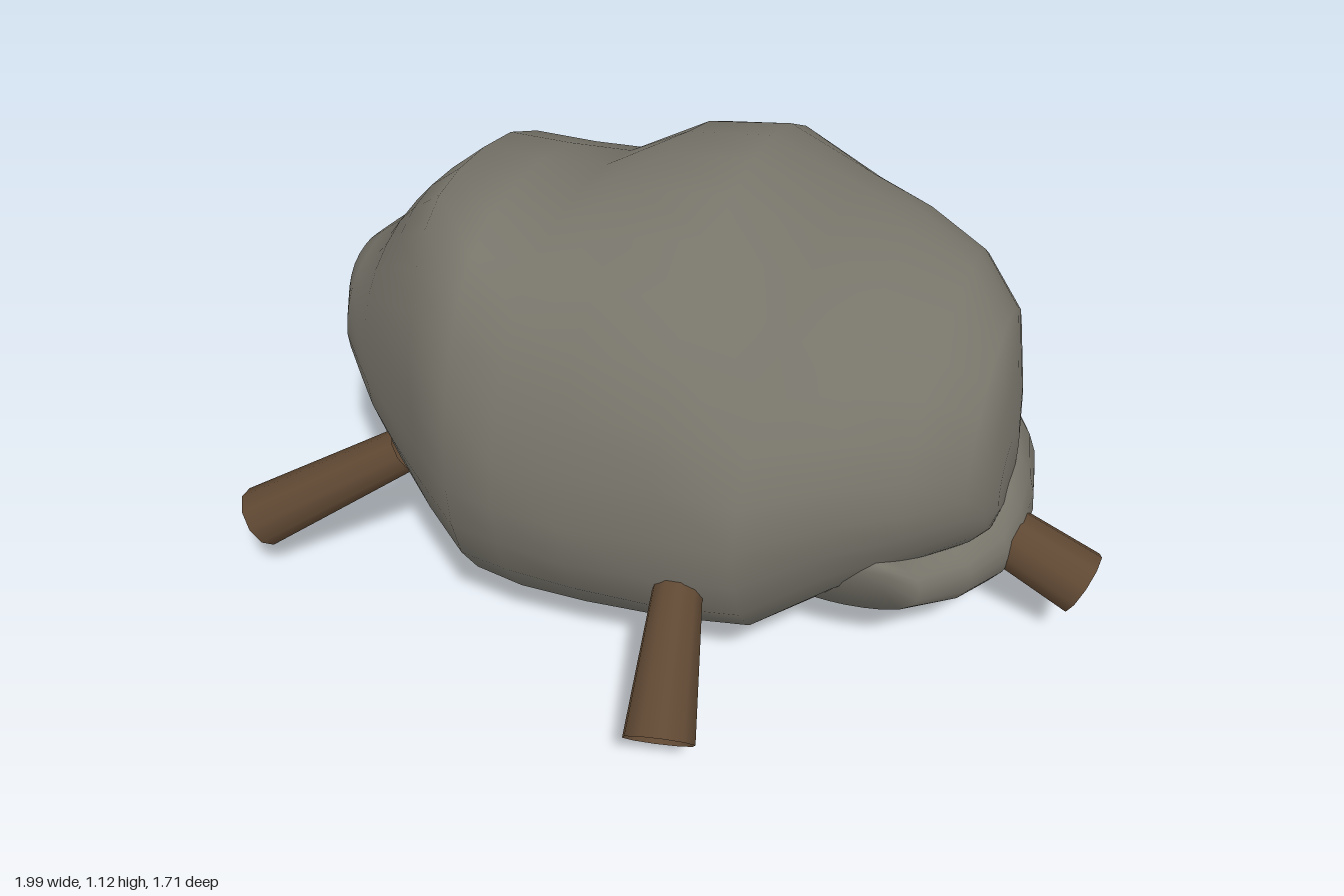
import * as THREE from 'three';

const stone = new THREE.MeshStandardMaterial({ color: 0x77746a });
stone.name = 'stone grey';
const wood = new THREE.MeshStandardMaterial({ color: 0x5f4833, side: THREE.DoubleSide });
wood.name = 'bark brown';

// Loft a closed boulder.
// Section: [along, top, bottom, sideMin, sideMax, height of widest point, sideways shift of the top, of the bottom]
// place(along, side, y) maps a section point to x, y, z.
// powers(u, v) gives the roundness of each quarter of the section.
function boulder(sections, place, powers, bump, flip) {
  const n = 28, pos = [], idx = [];
  sections.forEach(([a, top, bot, s0, s1, mid, topShift, botShift], i) => {
    const c = (s0 + s1) / 2, half = (s1 - s0) / 2;
    const inner = i > 0 && i < sections.length - 1 ? 1 : 0;
    for (let j = 0; j < n; j++) {
      const t = (j / n) * Math.PI * 2;
      const u = Math.cos(t), v = Math.sin(t), p = powers(u, v);
      const k = 1 / Math.pow(Math.abs(u) ** p + Math.abs(v) ** p, 1 / p);
      // gentle lumps, fading out at the four extremes
      const lump = 1 + inner * bump * Math.sin(2 * t) ** 2 * Math.sin(3 * t + a * 9);
      const side = c + half * u * k * lump + (v > 0 ? topShift : botShift) * v * v;
      const y = mid + (v > 0 ? top - mid : mid - bot) * v * k * lump;
      pos.push(...place(a, side, y));
    }
  });
  const rows = sections.length;
  const tri = (a, b, c) => (flip ? idx.push(a, c, b) : idx.push(a, b, c));
  for (let i = 0; i < rows - 1; i++) {
    for (let j = 0; j < n; j++) {
      const a = i * n + j, b = i * n + ((j + 1) % n);
      tri(a, b, a + n);
      tri(b, b + n, a + n);
    }
  }
  // end caps
  [0, rows - 1].forEach((r, end) => {
    const [a, top, bot, s0, s1] = sections[r];
    const centre = pos.length / 3;
    pos.push(...place(a, (s0 + s1) / 2, (top + bot) / 2));
    for (let j = 0; j < n; j++) {
      const p = r * n + j, q = r * n + ((j + 1) % n);
      if (end) tri(centre, p, q);
      else tri(centre, q, p);
    }
  });
  const g = new THREE.BufferGeometry();
  g.setAttribute('position', new THREE.Float32BufferAttribute(pos, 3));
  g.setIndex(idx);
  g.computeVertexNormals();
  return g;
}

// Hollow log stub, widening from its buried end to its tip
function logStub(start, tip, r0, r1) {
  const a = new THREE.Vector3(...start), b = new THREE.Vector3(...tip);
  const dir = b.clone().sub(a);
  const g = new THREE.CylinderGeometry(r1, r0, dir.length(), 10, 1, true);
  const m = new THREE.Mesh(g, wood);
  m.quaternion.setFromUnitVectors(new THREE.Vector3(0, 1, 0), dir.normalize());
  m.position.copy(a).add(b).multiplyScalar(0.5);
  return m;
}

export function createModel() {
  const model = new THREE.Group();
  model.name = 'boulderWithLogs';

  // Main boulder, sections along x
  const main = [
    [-0.875, 0.66, 0.53, -0.05, 0.05, 0.6, 0, 0],
    [-0.86, 0.71, 0.46, -0.13, 0.13, 0.59, 0, 0],
    [-0.82, 0.74, 0.4, -0.24, 0.21, 0.57, 0, 0],
    [-0.76, 0.79, 0.31, -0.33, 0.27, 0.55, 0.03, 0],
    [-0.7, 0.87, 0.23, -0.43, 0.33, 0.54, 0.08, 0],
    [-0.62, 0.96, 0.13, -0.45, 0.39, 0.53, 0.12, 0],
    [-0.49, 1.08, 0.06, -0.47, 0.49, 0.53, 0.17, 0],
    [-0.36, 1.06, 0.04, -0.55, 0.59, 0.52, 0.15, 0],
    [-0.24, 1.03, 0.03, -0.6, 0.61, 0.52, 0.09, 0],
    [-0.08, 1.1, 0.01, -0.63, 0.62, 0.52, 0, 0],
    [0.12, 1.12, 0.0, -0.57, 0.59, 0.52, -0.04, 0],
    [0.3, 0.98, 0.05, -0.55, 0.57, 0.53, -0.14, -0.04],
    [0.45, 0.93, 0.13, -0.48, 0.44, 0.54, -0.15, -0.08],
    [0.6, 0.89, 0.21, -0.37, 0.34, 0.54, -0.12, -0.08],
    [0.71, 0.83, 0.28, -0.23, 0.24, 0.54, -0.05, -0.04],
    [0.745, 0.68, 0.33, -0.15, 0.17, 0.51, 0, 0],
    [0.76, 0.56, 0.38, -0.08, 0.1, 0.47, 0, 0],
  ];
  const mainPower = (u, v) => (v < 0 ? 2.15 : u > 0 ? 2 : 2.2);
  const mainRock = new THREE.Mesh(boulder(main, (a, s, y) => [a, y, s], mainPower, 0.025, true), stone);
  mainRock.name = 'mainBoulder';
  model.add(mainRock);

  // Small boulder against the lower side, sections along z
  const small = [
    [-0.56, 0.37, 0.24, 0.21, 0.4, 0.3, 0, 0],
    [-0.52, 0.43, 0.18, 0.17, 0.55, 0.29, 0, 0],
    [-0.43, 0.48, 0.12, 0.17, 0.68, 0.28, 0, -0.04],
    [-0.25, 0.51, 0.08, 0.19, 0.78, 0.28, 0, -0.08],
    [-0.1, 0.5, 0.06, 0.22, 0.81, 0.28, 0, -0.1],
    [0.0, 0.47, 0.06, 0.25, 0.81, 0.27, 0, -0.1],
    [0.06, 0.38, 0.07, 0.25, 0.79, 0.25, 0, -0.1],
    [0.15, 0.34, 0.1, 0.26, 0.73, 0.24, 0, -0.08],
    [0.28, 0.37, 0.19, 0.3, 0.64, 0.28, 0.02, -0.04],
    [0.325, 0.39, 0.3, 0.38, 0.58, 0.35, 0, 0],
  ];
  const smallRock = new THREE.Mesh(boulder(small, (a, s, y) => [s, y, a], () => 2.4, 0.03, false), stone);
  smallRock.name = 'smallBoulder';
  model.add(smallRock);

  // Log stubs: name, start, tip, radii
  [
    ['frontRightLog', [-0.6, 0.395, 0.36], [-0.95, 0.175, 0.485], 0.054, 0.075],
    ['frontLog', [0.16, 0.4, 0.51], [0.225, 0.17, 0.8], 0.052, 0.08],
    ['backLog', [0.07, 0.4, -0.51], [0.235, 0.17, -0.8], 0.052, 0.08],
    ['backRightLog', [-0.6, 0.395, -0.3], [-0.95, 0.175, -0.49], 0.054, 0.075],
    ['sideLog', [0.6, 0.335, -0.02], [0.96, 0.175, -0.01], 0.065, 0.08],
  ].forEach(([name, start, tip, r0, r1]) => {
    const log = logStub(start, tip, r0, r1);
    log.name = name;
    model.add(log);
  });

  return model;
}
